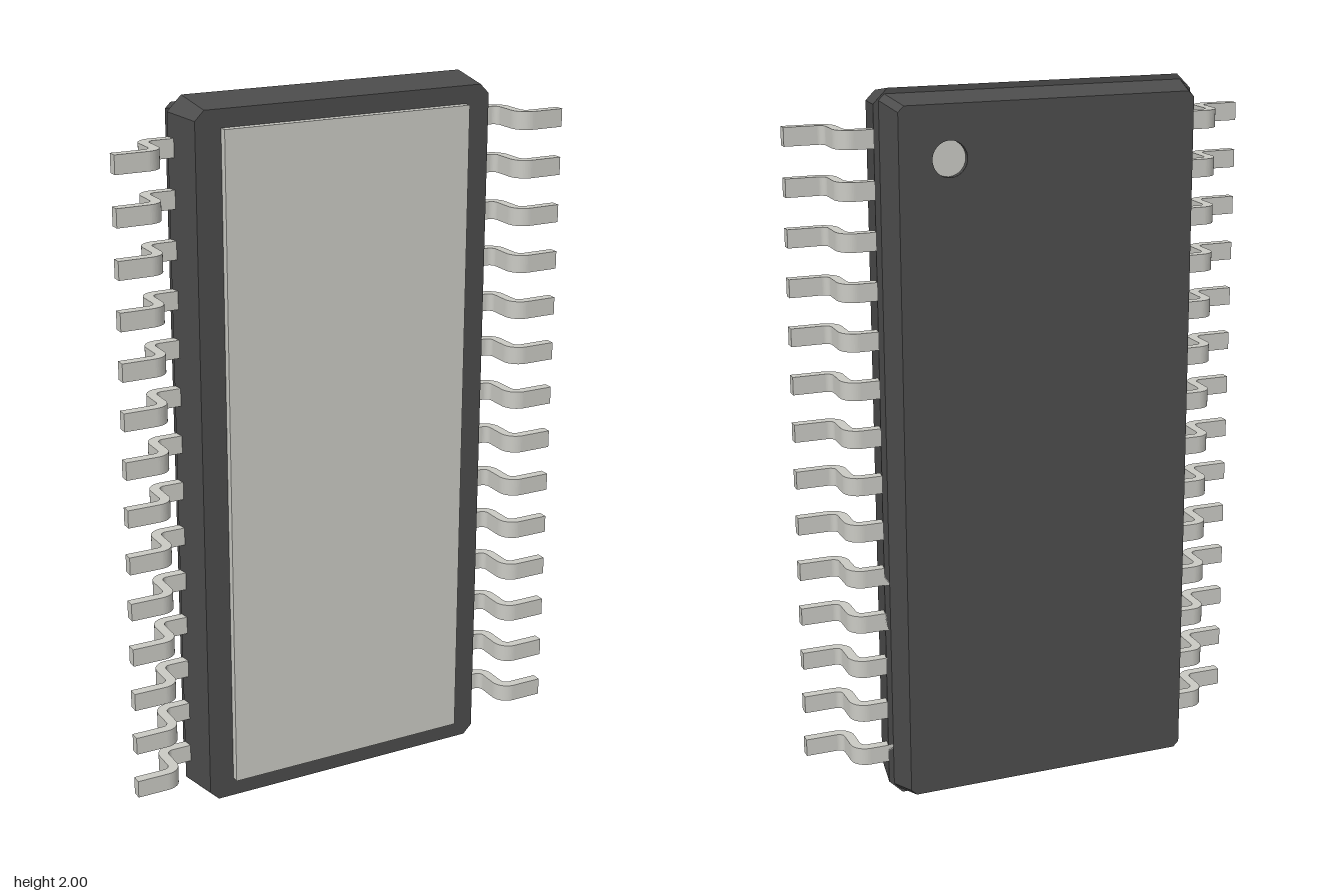
import * as THREE from 'three';
import { mergeGeometries } from 'three/addons/utils/BufferGeometryUtils.js';

const BACK = -0.1215, SPLIT = -0.026, FRONT = 0.1, FACE = 0.1215;
const MARK = { x: 0.278, y: 0.823, r: 0.048, depth: 0.015 };

// Rectangle with cut corners, counter-clockwise, centred on the origin
function outline(w, h, c) {
  return [[-w + c, -h], [w - c, -h], [w, -h + c], [w, h - c],
    [w - c, h], [-w + c, h], [-w, h - c], [-w, -h + c]].map(([x, y]) => new THREE.Vector2(x, y));
}

// Flat cap facing +z, or -z when back is true; hole is an optional path
function cap(points, z, back, hole) {
  const shape = new THREE.Shape(points);
  if (hole) shape.holes.push(hole);
  const geo = new THREE.ShapeGeometry(shape, 24);
  if (back) geo.rotateY(Math.PI);
  return geo.translate(0, 0, z).toNonIndexed();
}

// Drafted block between two outlines
function draftedBlock(a, za, b, zb, hole) {
  const pos = [];
  const put = (p, z) => pos.push(p.x, p.y, z);
  a.forEach((p, i) => {
    const j = (i + 1) % a.length;
    put(p, za); put(a[j], za); put(b[j], zb);
    put(p, za); put(b[j], zb); put(b[i], zb);
  });
  const sides = new THREE.BufferGeometry();
  sides.setAttribute('position', new THREE.Float32BufferAttribute(pos, 3));
  sides.computeVertexNormals();
  const caps = [cap(a, za, true, hole), cap(b, zb, false)];
  caps.forEach((g) => g.deleteAttribute('uv'));
  return mergeGeometries([sides, ...caps]);
}

// Gull-wing lead profile in (x, depth), extruded along its width
function leadGeometry(width) {
  const t = 0.028, zin = SPLIT, zout = FACE, x0 = 0.43, x1 = 0.522, x2 = 0.55, end = 0.658;
  const R = 0.046, r = R - t;
  const s = new THREE.Shape();
  s.moveTo(x0, zin);
  s.lineTo(x2 - R, zin);
  s.absarc(x2 - R, zin + R, R, -Math.PI / 2, 0, false);
  s.lineTo(x2, zout - t - r);
  s.absarc(x2 + r, zout - R, r, Math.PI, Math.PI / 2, true);
  s.lineTo(end, zout - t);
  s.lineTo(end, zout);
  s.lineTo(x1 + R, zout);
  s.absarc(x1 + R, zout - R, R, Math.PI / 2, Math.PI, false);
  s.lineTo(x1, zin + t + r);
  s.absarc(x1 - r, zin + R, r, 0, -Math.PI / 2, true);
  s.lineTo(x0, zin + t);
  s.closePath();
  const geo = new THREE.ExtrudeGeometry(s, { depth: width, bevelEnabled: false, curveSegments: 8 });
  return geo.translate(0, 0, -width / 2).rotateX(Math.PI / 2);
}

export function createModel() {
  const model = new THREE.Group();
  const dark = new THREE.MeshStandardMaterial({ color: 0x4c4c4c });
  const darkInside = new THREE.MeshStandardMaterial({ color: 0x4c4c4c, side: THREE.BackSide });
  const metal = new THREE.MeshStandardMaterial({ color: 0xcacac4 });

  const add = (name, geo, mat, x = 0, y = 0, z = 0) => {
    const mesh = new THREE.Mesh(geo, mat);
    mesh.name = name;
    mesh.position.set(x, y, z);
    model.add(mesh);
    return mesh;
  };

  // Two moulded halves meeting at a stepped parting line
  add('frontHousing', draftedBlock(outline(0.452, 1, 0.04), SPLIT, outline(0.432, 0.98, 0.026), FRONT), dark, 0, 1);
  const hole = new THREE.Path();
  hole.absarc(-MARK.x, MARK.y, MARK.r, 0, Math.PI * 2, true);
  add('backHousing', draftedBlock(outline(0.417, 0.965, 0.016), BACK, outline(0.437, 0.985, 0.016), SPLIT, hole), dark, 0, 1);

  // Shallow round recess marking the first lead
  const wall = new THREE.CylinderGeometry(MARK.r, MARK.r, MARK.depth, 24, 1, true).rotateX(Math.PI / 2);
  add('markerWall', wall, darkInside, MARK.x, 1 + MARK.y, BACK + MARK.depth / 2);
  add('markerFloor', new THREE.CircleGeometry(MARK.r, 24).rotateY(Math.PI), metal, MARK.x, 1 + MARK.y, BACK + MARK.depth);

  // Thermal pad on the front
  const padDepth = FACE - FRONT + 0.01;
  add('thermalPad', new THREE.BoxGeometry(0.72, 1.856, padDepth), metal, 0, 1.003, FACE - padDepth / 2);

  // Fourteen leads on each side
  const lead = leadGeometry(0.05);
  for (let i = 0; i < 14; i++) {
    const y = 1 + (i - 6.5) * 0.134;
    add(`leftLead${i + 1}`, lead, metal, 0, y);
    add(`rightLead${i + 1}`, lead, metal, 0, y).scale.x = -1;
  }
  return model;
}
